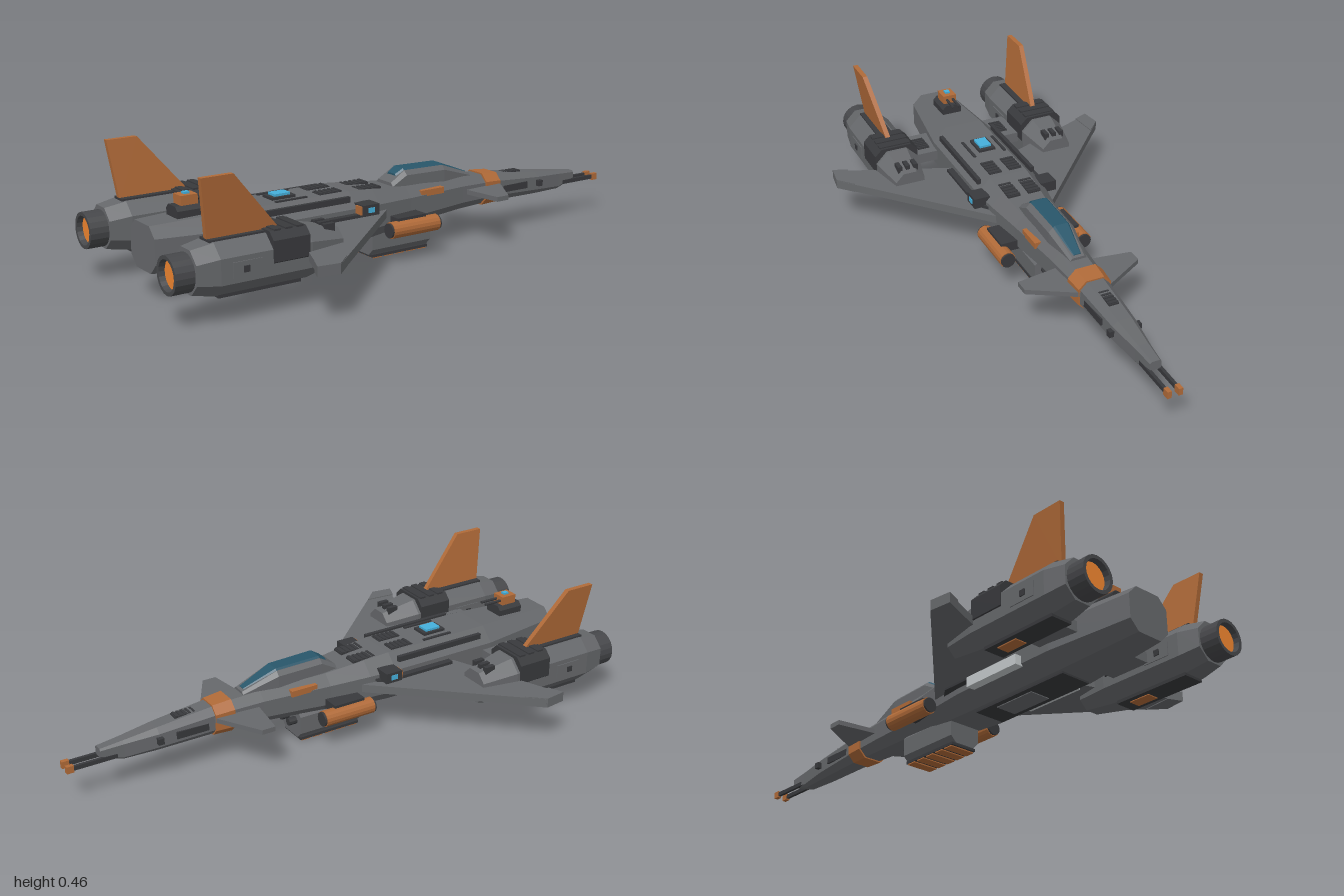
import * as THREE from 'three';

const mat = (color, side = THREE.FrontSide) => new THREE.MeshStandardMaterial({ color, flatShading: true, side });
const HULL = mat(0x66686b), DARK = mat(0x38393c), ORANGE = mat(0xb06a38), GLOW = mat(0xf08530);
const GLASS = mat(0x28566a), CYAN = mat(0x45b0dc), PALE = mat(0xc4c9cb);

export function createModel() {
  const root = new THREE.Group();
  root.name = 'starfighter';

  const add = (name, geo, material, parent = root) => {
    const mesh = new THREE.Mesh(geo, material);
    mesh.name = name;
    parent.add(mesh);
    return mesh;
  };
  const group = (name) => {
    const g = new THREE.Group();
    g.name = name;
    root.add(g);
    return g;
  };
  // Box given by its min and max along each axis
  const box = (name, [x0, x1], [y0, y1], [z0, z1], material, parent) => {
    const geo = new THREE.BoxGeometry(Math.abs(x1 - x0), y1 - y0, z1 - z0);
    geo.translate((x0 + x1) / 2, (y0 + y1) / 2, (z0 + z1) / 2);
    return add(name, geo, material, parent);
  };
  // Cylinder lying along z
  const rod = (name, r0, r1, z0, z1, x, y, material, parent, sides = 16) => {
    const geo = new THREE.CylinderGeometry(r1, r0, z1 - z0, sides);
    geo.rotateX(Math.PI / 2).translate(x, y, (z0 + z1) / 2);
    return add(name, geo, material, parent);
  };
  // Loft of chamfered rectangles: [z, halfWidth, bottom, top, chamfer]
  const loft = (sections, cx = 0) => {
    const rings = sections.map(([z, w, b, t, c]) => [
      [w, b + c], [w, t - c], [w - c, t], [c - w, t], [-w, t - c], [-w, b + c], [c - w, b], [w - c, b],
    ].map(([x, y]) => [x + cx, y, z]));
    const pos = [];
    const tri = (...p) => p.forEach((v) => pos.push(...v));
    for (let k = 0; k < rings.length - 1; k++) {
      const a = rings[k], b = rings[k + 1];
      for (let i = 0; i < 8; i++) {
        const j = (i + 1) % 8;
        tri(a[i], a[j], b[j]);
        tri(a[i], b[j], b[i]);
      }
    }
    const first = rings[0], last = rings[rings.length - 1];
    for (let i = 1; i < 7; i++) {
      tri(first[0], first[i + 1], first[i]);
      tri(last[0], last[i], last[i + 1]);
    }
    const geo = new THREE.BufferGeometry();
    geo.setAttribute('position', new THREE.Float32BufferAttribute(pos, 3));
    geo.computeVertexNormals();
    return geo;
  };
  // Flat plate from an (x, z) outline, mirrored by s
  const plate = (points, s, y0, y1) => {
    const shape = new THREE.Shape(points.map(([x, z]) => new THREE.Vector2(s * x, -z)));
    return new THREE.ExtrudeGeometry(shape, { depth: y1 - y0, bevelEnabled: false })
      .rotateX(-Math.PI / 2).translate(0, y0, 0);
  };
  // Dark grille: a recess plate with raised slats
  const grille = (x0, x1, y, z0, z1, n, parent) => {
    box('grilleBase', [x0, x1], [y - 0.008, y + 0.002], [z0, z1], DARK, parent);
    const step = (z1 - z0) / n;
    for (let i = 0; i < n; i++) {
      box('grilleSlat', [x0, x1], [y, y + 0.005], [z0 + (i + 0.2) * step, z0 + (i + 0.7) * step], DARK, parent);
    }
  };

  // Fuselage
  add('fuselage', loft([
    [-0.88, 0.02, 0.142, 0.175, 0.006], [-0.8, 0.027, 0.116, 0.184, 0.01],
    [-0.68, 0.042, 0.116, 0.2, 0.018], [-0.45, 0.055, 0.12, 0.225, 0.025],
    [-0.3, 0.066, 0.115, 0.235, 0.03], [-0.05, 0.09, 0.1, 0.24, 0.035],
    [0.1, 0.112, 0.085, 0.255, 0.045], [0.2, 0.122, 0.08, 0.263, 0.05],
    [0.62, 0.122, 0.08, 0.263, 0.05], [0.93, 0.085, 0.1, 0.255, 0.035],
  ]), HULL);
  add('noseBand', loft([[-0.48, 0.059, 0.116, 0.227, 0.026], [-0.41, 0.064, 0.114, 0.233, 0.028]]), ORANGE);
  box('bellyPlate', [-0.06, 0.06], [0.073, 0.09], [0.22, 0.62], DARK);
  box('bellyPanel', [-0.04, 0.04], [0.07, 0.08], [0.3, 0.46], HULL);

  // Twin-rail nose gun
  for (const s of [-1, 1]) {
    box('gunRail', [s * 0.014, s * 0.025], [0.13, 0.145], [-0.99, -0.78], DARK);
    box('gunRailTip', [s * 0.012, s * 0.027], [0.125, 0.15], [-1, -0.975], ORANGE);
  }
  grille(-0.018, 0.018, 0.211, -0.61, -0.53, 5);

  // Canopy and glass
  add('canopyFrame', loft([
    [-0.36, 0.03, 0.21, 0.24, 0.008], [-0.23, 0.047, 0.21, 0.288, 0.015],
    [-0.06, 0.05, 0.22, 0.292, 0.015], [0, 0.05, 0.22, 0.256, 0.012],
  ]), HULL);
  add('canopyGlass', loft([
    [-0.35, 0.018, 0.22, 0.246, 0.006], [-0.23, 0.034, 0.23, 0.294, 0.01],
    [-0.06, 0.036, 0.24, 0.298, 0.01], [-0.03, 0.03, 0.24, 0.28, 0.01],
  ]), GLASS);

  // Back deck: grilles, beacon and turret
  for (const s of [-1, 1]) {
    grille(s * 0.015, s * 0.063, 0.256, 0.06, 0.155, 5);
    grille(s * 0.015, s * 0.063, 0.264, 0.22, 0.31, 5);
    box('deckStrip', [s * 0.055, s * 0.065], [0.255, 0.268], [0.36, 0.48], DARK);
  }
  box('beaconBase', [-0.032, 0.032], [0.25, 0.272], [0.385, 0.475], DARK);
  box('beacon', [-0.022, 0.022], [0.27, 0.28], [0.4, 0.46], CYAN);
  add('turretBase', loft([[0.725, 0.038, 0.24, 0.295, 0.014], [0.825, 0.038, 0.24, 0.295, 0.014]]), DARK);
  box('turretHead', [-0.026, 0.026], [0.295, 0.327], [0.745, 0.805], ORANGE);
  box('turretLens', [-0.009, 0.009], [0.327, 0.334], [0.765, 0.785], CYAN);
  for (const s of [-1, 1]) rod('turretBarrel', 0.005, 0.005, 0.675, 0.75, s * 0.012, 0.31, DARK, root, 8);

  // Belly pod with striped base plate
  const pod = group('bellyPod');
  add('podBody', loft([[-0.155, 0.061, 0.012, 0.12, 0.022], [0.095, 0.061, 0.012, 0.12, 0.022]]), HULL, pod);
  box('podBase', [-0.052, 0.052], [0.004, 0.014], [-0.15, 0.09], DARK, pod);
  for (let i = 0; i < 5; i++) {
    const z = -0.145 + i * 0.048;
    box('podStripe', [-0.05, 0.05], [0, 0.012], [z, z + 0.036], ORANGE, pod);
  }
  for (const s of [-1, 1]) rod('podGun', 0.014, 0.014, -0.185, -0.14, s * 0.025, 0.075, DARK, pod, 10);

  for (const s of [-1, 1]) {
    const side = s > 0 ? 'left' : 'right';

    // Nose fittings and canard
    box('noseKnob', [s * 0.035, s * 0.058], [0.15, 0.172], [-0.69, -0.67], DARK);
    box('noseSidePanel', [s * 0.04, s * 0.052], [0.15, 0.175], [-0.62, -0.5], DARK);
    add(side + 'Canard', plate([[0.04, -0.49], [0.21, -0.39], [0.21, -0.34], [0.04, -0.315]], s, 0.173, 0.19), HULL);

    // Wing
    const wing = group(side + 'Wing');
    add('wingPanel', plate([[0.08, 0.04], [0.12, 0.08], [0.535, 0.54], [0.525, 0.615], [0.08, 0.435]], s, 0.158, 0.187), HULL, wing);
    add('wingTip', plate([[0.485, 0.487], [0.537, 0.543], [0.527, 0.62], [0.475, 0.598]], s, 0.155, 0.19), HULL, wing);
    add('wingRootFairing', plate([[0.1, 0.1], [0.145, 0.16], [0.145, 0.43], [0.1, 0.43]], s, 0.15, 0.198), DARK, wing);

    // Side tank, intake block and pale cell
    rod(side + 'Tank', 0.029, 0.029, -0.115, 0.08, s * 0.146, 0.122, ORANGE);
    rod('tankCap', 0.026, 0.026, -0.122, 0.087, s * 0.146, 0.122, DARK);
    box('tankMount', [s * 0.08, s * 0.15], [0.125, 0.16], [-0.07, 0.05], DARK);
    box('sideBlock', [s * 0.1, s * 0.16], [0.192, 0.23], [0.135, 0.2], DARK);
    box('sideBlockPanel', [s * 0.12, s * 0.155], [0.197, 0.226], [0.198, 0.206], ORANGE);
    box('sideLamp', [s * 0.158, s * 0.163], [0.203, 0.22], [0.155, 0.18], CYAN);
    box('paleCell', [s * 0.11, s * 0.147], [0.122, 0.157], [0.27, 0.5], PALE);
    box('hullStrake', [s * 0.098, s * 0.112], [0.235, 0.255], [0.22, 0.58], DARK);
    box('cheekPanel', [s * 0.06, s * 0.083], [0.2, 0.222], [-0.2, -0.1], ORANGE);

    // Engine strut
    box(side + 'Strut', [s * 0.09, s * 0.24], [0.155, 0.193], [0.585, 0.735], HULL);
    grille(s * 0.14, s * 0.185, 0.194, 0.62, 0.7, 6);

    // Engine nacelle
    const cx = s * 0.297;
    const engine = group(side + 'Engine');
    add('nacelle', loft([
      [0.41, 0.055, 0.115, 0.23, 0.03], [0.54, 0.08, 0.092, 0.258, 0.042],
      [0.86, 0.08, 0.092, 0.258, 0.042], [0.935, 0.068, 0.105, 0.245, 0.038],
    ], cx), HULL, engine);
    add('nacelleCollar', loft([[0.55, 0.083, 0.15, 0.268, 0.025], [0.68, 0.083, 0.15, 0.268, 0.025]], cx), DARK, engine);
    for (let i = 0; i < 3; i++) {
      const x = cx + (i - 1) * 0.03;
      box('intakeSlot', [x - 0.008, x + 0.008], [0.22, 0.25], [0.43, 0.47], DARK, engine);
      box('collarRib', [cx - 0.06, cx + 0.06], [0.262, 0.272], [0.56 + i * 0.04, 0.585 + i * 0.04], DARK, engine);
    }
    box('topRail', [cx - 0.03, cx + 0.03], [0.25, 0.264], [0.68, 0.87], DARK, engine);
    box('bottomPlate', [cx - 0.04, cx + 0.04], [0.083, 0.1], [0.56, 0.85], DARK, engine);
    box('bottomPanel', [cx - 0.022, cx + 0.022], [0.08, 0.09], [0.6, 0.68], ORANGE, engine);
    for (const t of [-1, 1]) {
      box('sidePanel', [cx + t * 0.07, cx + t * 0.083], [0.15, 0.2], [0.72, 0.82], HULL, engine);
      box('sidePort', [cx + t * 0.07, cx + t * 0.087], [0.165, 0.185], [0.765, 0.785], DARK, engine);
    }
    // Open nozzle with a glowing disc
    const nozzle = new THREE.LatheGeometry([[0, 0.92], [0.062, 0.92], [0.062, 1], [0.05, 1], [0.047, 0.97], [0, 0.97]]
      .map(([r, z]) => new THREE.Vector2(r, z)), 20);
    const nozzleMesh = add('nozzle', nozzle.rotateX(Math.PI / 2).translate(cx, 0.172, 0), DARK, engine);
    nozzleMesh.material = mat(0x46474a, THREE.DoubleSide);
    rod('exhaustGlow', 0.048, 0.048, 0.96, 0.98, cx, 0.172, GLOW, engine, 20);

    // Tail fin, leaning outward with height
    const outline = [[0.61, 0.25], [0.785, 0.458], [0.895, 0.458], [0.868, 0.25]].map(([z, y]) => new THREE.Vector2(z, y));
    const fin = new THREE.ExtrudeGeometry(new THREE.Shape(outline), { depth: 0.018, bevelEnabled: false });
    fin.translate(0, 0, -0.009).rotateY(-Math.PI / 2);
    const p = fin.attributes.position;
    for (let i = 0; i < p.count; i++) p.setX(i, p.getX(i) + s * (0.298 + (p.getY(i) - 0.25) * 0.125));
    fin.computeVertexNormals();
    add(side + 'Fin', fin, ORANGE);
  }
  return root;
}
